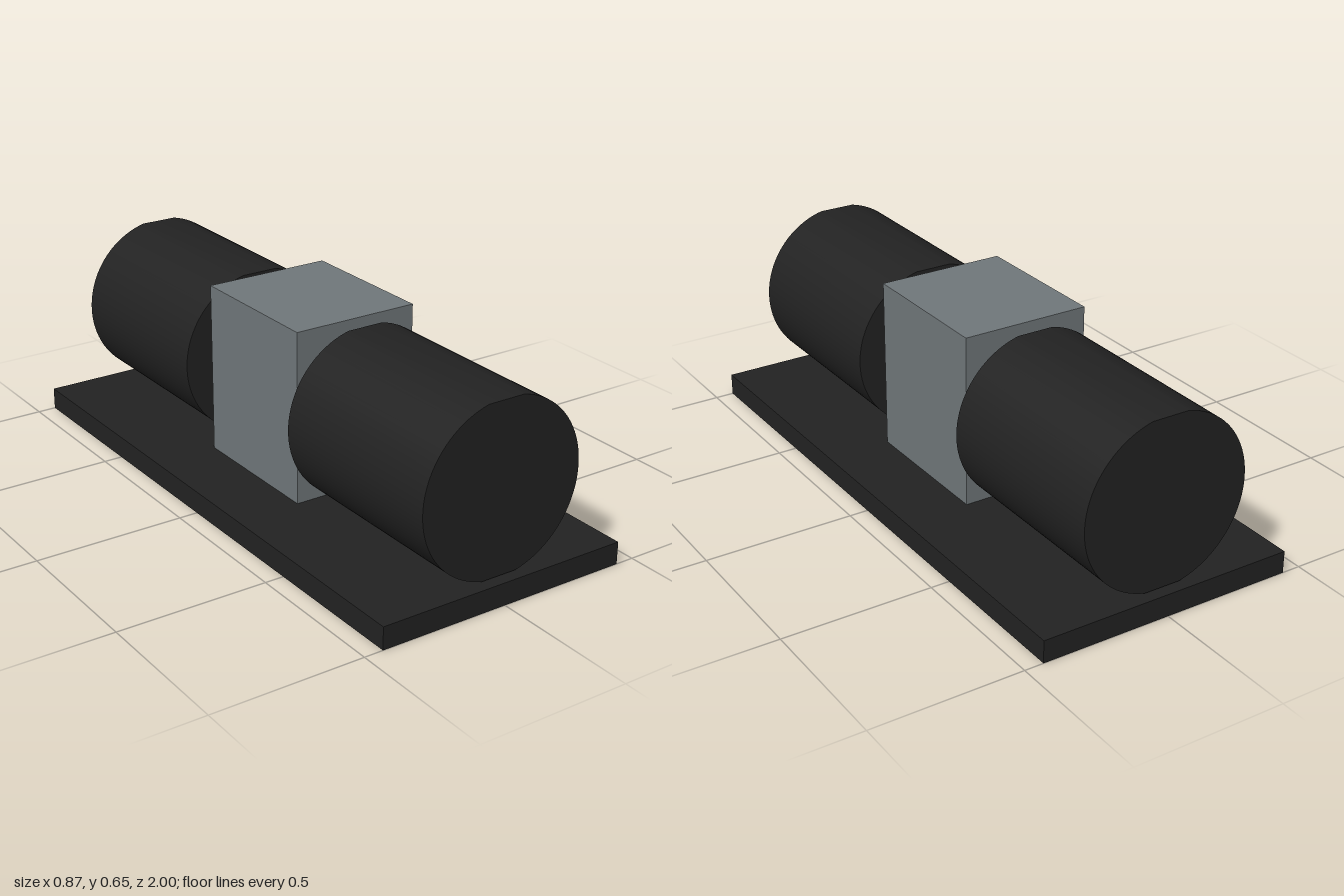
import * as THREE from 'three';
import { toCreasedNormals } from 'three/addons/utils/BufferGeometryUtils.js';

export function createModel() {
  const group = new THREE.Group();
  const black = new THREE.MeshStandardMaterial({ color: 0x222222, side: THREE.DoubleSide });
  black.name = 'black';
  const grey = new THREE.MeshStandardMaterial({ color: 0x70777a });
  grey.name = 'steel grey';

  function add(name, geometry, material, x, y, z) {
    const mesh = new THREE.Mesh(geometry, material);
    mesh.name = name;
    mesh.position.set(x, y, z);
    group.add(mesh);
    return mesh;
  }

  // Base: a shallow tray turned upside down, open underneath
  const tray = new THREE.BoxGeometry(0.874, 0.075, 2);
  const faces = Array.from(tray.index.array);
  faces.splice(18, 6); // drop the bottom face
  tray.setIndex(faces);
  tray.clearGroups();
  add('basePlate', tray, black, 0, 0.0375, 0);

  // Central block
  add('centreBlock', new THREE.BoxGeometry(0.436, 0.575, 0.5), grey, 0, 0.3625, 0);

  // Drums: round section trimmed flat at top and bottom
  const radius = 0.285, flat = 0.278, length = 0.667;
  const a = Math.asin(flat / radius);
  const section = new THREE.Shape();
  section.absarc(0, 0, radius, -a, a, false);
  section.absarc(0, 0, radius, Math.PI - a, Math.PI + a, false);
  section.closePath();
  const drum = toCreasedNormals(new THREE.ExtrudeGeometry(section, {
    depth: length, bevelEnabled: false, curveSegments: 20,
  }), 0.3);
  drum.clearGroups();

  // Short shafts joining each drum to the block
  const shaft = new THREE.CylinderGeometry(0.046, 0.046, 0.05, 24);
  shaft.rotateX(Math.PI / 2);

  for (const [side, s] of [['front', 1], ['back', -1]]) {
    add(side + 'Drum', drum, black, 0, 0.36, s > 0 ? 0.3 : -0.3 - length);
    add(side + 'Shaft', shaft, grey, 0, 0.507, s * 0.275);
  }
  return group;
}
